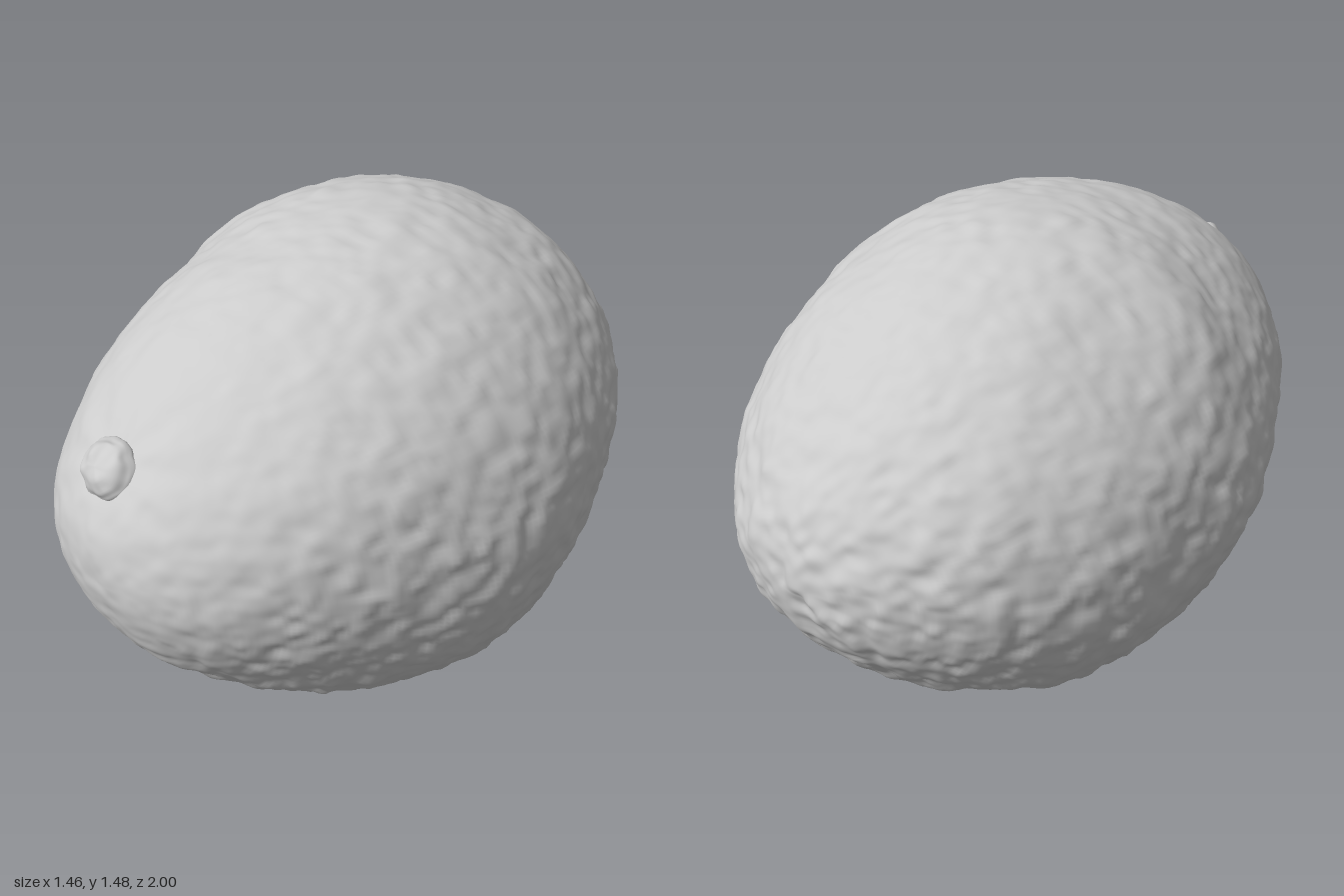
import * as THREE from 'three';

const material = new THREE.MeshStandardMaterial({ color: 0xcccccc, roughness: 0.8 });
const STEM = new THREE.Vector3(-0.03, 1.06, 0.87);
const STEM_AXIS = new THREE.Vector3(0, 0.57, 0.82).normalize();

// Smooth seeded value noise in -1..1
function hash(x, y, z) {
  let h = Math.imul(x, 374761393) ^ Math.imul(y, 668265263) ^ Math.imul(z, 1274126177);
  h = Math.imul(h ^ (h >>> 13), 1103515245);
  h = Math.imul(h ^ (h >>> 16), 668265263);
  return ((h ^ (h >>> 15)) >>> 0) / 2147483648 - 1;
}
function noise(x, y, z) {
  const f = [x, y, z].map(Math.floor);
  const [u, v, w] = [x, y, z].map((c, i) => THREE.MathUtils.smoothstep(c - f[i], 0, 1));
  const { lerp } = THREE.MathUtils;
  const row = (j, k) => lerp(hash(f[0], f[1] + j, f[2] + k), hash(f[0] + 1, f[1] + j, f[2] + k), u);
  return lerp(lerp(row(0, 0), row(1, 0), v), lerp(row(0, 1), row(1, 1), v), w);
}

// Radius factors from back (z = -1) to front (z = 1) at equal steps, times sqrt(1 - z^2)
const curve = (values) => new THREE.SplineCurve(values.map((r, i) => new THREE.Vector2(i, r)));
const up = curve([0.62, 0.675, 0.702, 0.708, 0.711, 0.7, 0.678, 0.664, 0.643, 0.605, 0.61]);
const down = curve([0.56, 0.645, 0.719, 0.763, 0.773, 0.767, 0.75, 0.715, 0.672, 0.625, 0.62]);
const left = curve([0.66, 0.675, 0.69, 0.7, 0.714, 0.722, 0.714, 0.694, 0.678, 0.67, 0.66]);
const right = curve([0.74, 0.765, 0.748, 0.742, 0.73, 0.722, 0.692, 0.66, 0.637, 0.63, 0.64]);

// Point on the smooth egg shape; the underside leans a little to the left
function eggPoint(phi, angle) {
  const z = Math.cos(phi), s = Math.sin(phi), t = (z + 1) / 2;
  const [u, d, l, r] = [up, down, left, right].map((c) => c.getPoint(t).y * s);
  const lean = 0.07 * s * Math.max(0, -Math.sin(angle)) ** 2;
  return new THREE.Vector3(
    (l - r) / 2 + ((l + r) / 2) * Math.cos(angle) + lean,
    0.775 + 0.025 * z + (u - d) / 2 + ((u + d) / 2) * Math.sin(angle),
    z
  );
}

// Pebbled skin, calmer and puckered around the stem
function skinHeight(p) {
  const dist = p.distanceTo(STEM);
  const rough = 0.35 + 0.65 * THREE.MathUtils.smoothstep(dist, 0.2, 0.8);
  const low = 1 - 0.35 * THREE.MathUtils.smoothstep(p.y, 0.7, 1.2);
  const bumps = 0.008 * noise(p.x * 17, p.y * 17, p.z * 17)
    + 0.006 * noise(p.x * 31 + 9, p.y * 31, p.z * 31);
  const swell = 0.008 * noise(p.x * 4 + 3, p.y * 4, p.z * 4);
  const around = Math.atan2(p.x - STEM.x, (p.y - STEM.y) * 0.82 - (p.z - STEM.z) * 0.57);
  const pucker = 0.003 * Math.sin(around * 9) * Math.exp(-(((dist - 0.17) / 0.08) ** 2));
  const dimple = -0.012 * Math.exp(-((dist / 0.11) ** 2));
  return bumps * rough * low + swell + pucker + dimple;
}

function bodyGeometry(rings = 190, sides = 280) {
  const positions = [], index = [];
  const center = new THREE.Vector3(0, 0.74, 0);
  const add = (phi, angle) => {
    const p = eggPoint(phi, angle);
    const outward = p.clone().sub(center);
    outward.z *= 0.6;
    p.addScaledVector(outward.normalize(), skinHeight(p));
    positions.push(p.x, p.y, p.z);
  };
  add(0, 0);
  for (let i = 1; i < rings; i++) {
    for (let j = 0; j < sides; j++) add((i / rings) * Math.PI, (j / sides) * Math.PI * 2);
  }
  add(Math.PI, 0);
  const last = positions.length / 3 - 1;
  const at = (i, j) => 1 + (i - 1) * sides + (j % sides);
  for (let j = 0; j < sides; j++) {
    index.push(0, at(1, j), at(1, j + 1));
    for (let i = 1; i < rings - 1; i++) {
      const a = at(i, j), b = at(i, j + 1), c = at(i + 1, j), d = at(i + 1, j + 1);
      index.push(a, c, b, b, c, d);
    }
    index.push(at(rings - 1, j), last, at(rings - 1, j + 1));
  }
  const geometry = new THREE.BufferGeometry();
  geometry.setAttribute('position', new THREE.Float32BufferAttribute(positions, 3));
  geometry.setIndex(index);
  geometry.computeVertexNormals();
  return geometry;
}

// Small domed button with a thin lip
function stemGeometry() {
  const profile = new THREE.SplineCurve([
    [0.07, -0.05], [0.074, -0.01], [0.082, 0.008], [0.079, 0.02],
    [0.071, 0.03], [0.06, 0.046], [0.035, 0.06], [0, 0.064],
  ].map(([r, h]) => new THREE.Vector2(r, h)));
  const points = profile.getPoints(28);
  points[points.length - 1].x = 0;
  const geometry = new THREE.LatheGeometry(points, 48);
  const pos = geometry.attributes.position;
  for (let i = 0; i < pos.count; i++) {
    const x = pos.getX(i), y = pos.getY(i), z = pos.getZ(i);
    const k = 1 + 0.08 * noise(x * 35, y * 35, z * 35);
    pos.setXYZ(i, x * k, y + 0.006 * noise(x * 40 + 5, 2, z * 40), z * k);
  }
  geometry.computeVertexNormals();
  return geometry;
}

export function createModel() {
  const group = new THREE.Group();
  group.name = 'fruit';

  const body = new THREE.Mesh(bodyGeometry(), material);
  body.name = 'skin';
  group.add(body);

  const stem = new THREE.Mesh(stemGeometry(), material);
  stem.name = 'stemButton';
  stem.position.copy(STEM);
  stem.quaternion.setFromUnitVectors(new THREE.Vector3(0, 1, 0), STEM_AXIS);
  group.add(stem);

  return group;
}
